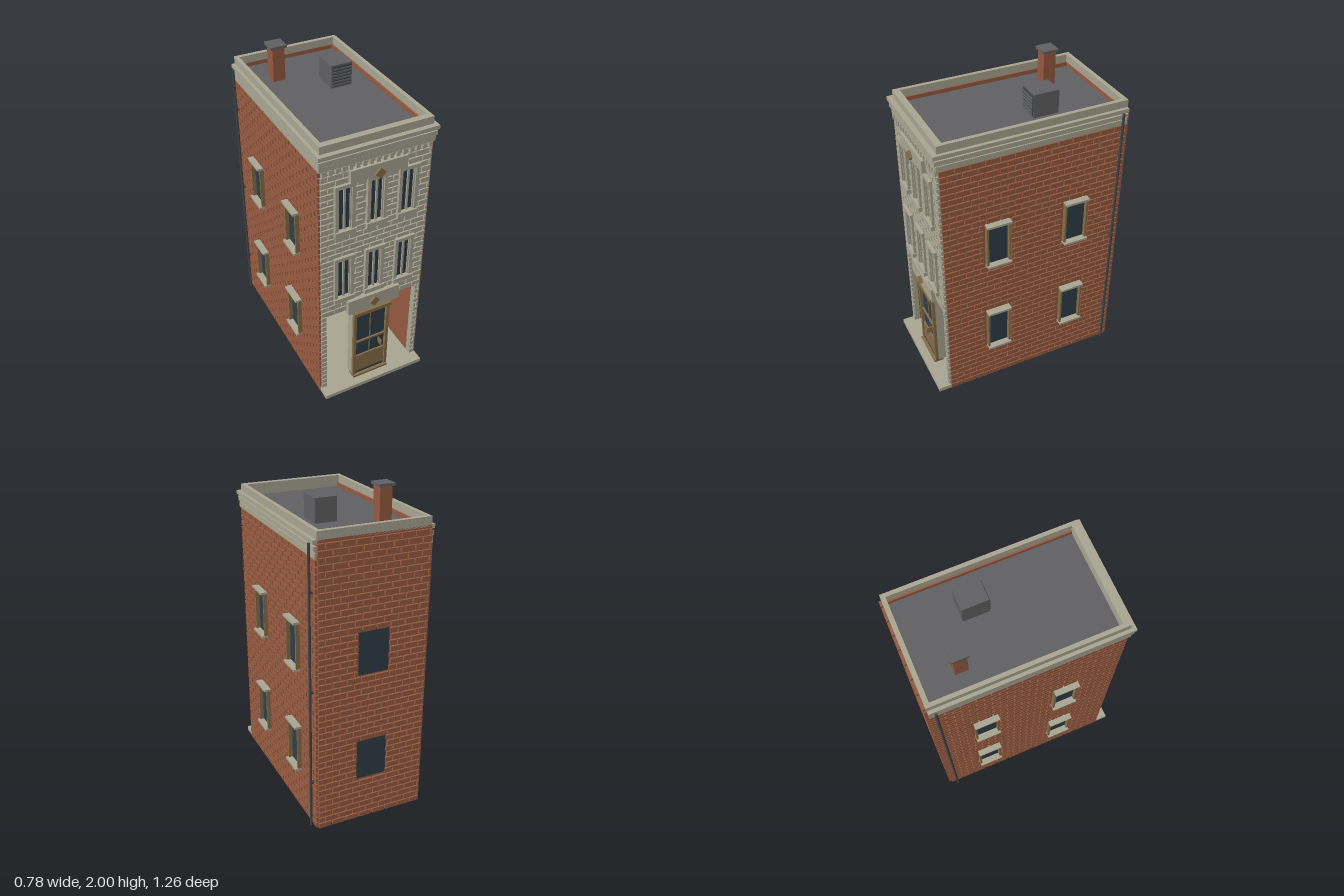
import * as THREE from 'three';
import { mergeGeometries } from 'three/addons/utils/BufferGeometryUtils.js';

const mat = (name, color) => {
  const m = new THREE.MeshStandardMaterial({ color });
  m.name = name;
  return m;
};

export function createModel() {
  const stone = mat('stone', 0xa8a592);
  const brick = mat('brick', 0x955a40);
  const glass = mat('glass', 0x2f3d48);
  const wood = mat('ochre wood', 0x856d48);
  const roofing = mat('roof grey', 0x606062);
  const metal = mat('dark metal', 0x3f4448);

  const model = new THREE.Group();
  model.name = 'townhouse';
  const addMesh = (parent, name, geo, m) => {
    const mesh = new THREE.Mesh(geo, m);
    mesh.name = name;
    parent.add(mesh);
    return mesh;
  };
  // box given by its limits
  const boxGeo = (x0, x1, y0, y1, z0, z1) =>
    new THREE.BoxGeometry(x1 - x0, y1 - y0, z1 - z0).translate((x0 + x1) / 2, (y0 + y1) / 2, (z0 + z1) / 2);
  const box = (parent, name, m, ...b) => addMesh(parent, name, boxGeo(...b), m);
  const facade = (name, angle) => {
    const g = new THREE.Group();
    g.name = name;
    g.rotation.y = angle;
    model.add(g);
    return g;
  };

  // running-bond courses; rows are cut around openings [x0, x1, y0, y1]
  const courses = (parent, name, m, half, y0, y1, z, depth, holes, shift = 0) => {
    const parts = [], pitch = 0.0393, len = 0.09, gap = 0.008;
    const rows = Math.round((y1 - y0) / pitch), step = (y1 - y0) / rows;
    for (let r = 0; r < rows; r++) {
      const a = y0 + r * step, b = a + step - gap, mid = (a + b) / 2;
      const cuts = holes.filter(h => mid > h[2] && mid < h[3]);
      for (let x = shift - half - (r % 2 ? len / 2 : 0); x < half + shift; x += len) {
        let spans = [[Math.max(x, shift - half), Math.min(x + len - gap, shift + half)]];
        for (const h of cuts)
          spans = spans.flatMap(([s, e]) => [[s, Math.min(e, h[0])], [Math.max(s, h[1]), e]]);
        for (const [s, e] of spans)
          if (e - s > 0.01) parts.push(boxGeo(s, e, a, b, z - 0.004, z + depth));
      }
    }
    addMesh(parent, name, mergeGeometries(parts), m);
  };

  // rectangular ring lying flat, used for parapet and cornice
  const ring = (name, hx, zBack, zFront, y0, y1) => {
    const s = new THREE.Shape([[-hx, -zFront], [hx, -zFront], [hx, -zBack], [-hx, -zBack]].map(p => new THREE.Vector2(...p)));
    s.holes.push(new THREE.Path([[-0.32, -0.51], [-0.32, 0.587], [0.32, 0.587], [0.32, -0.51]].map(p => new THREE.Vector2(...p))));
    const g = new THREE.ExtrudeGeometry(s, { depth: y1 - y0, bevelEnabled: false });
    addMesh(model, name, g.rotateX(-Math.PI / 2).translate(0, y0, 0), stone);
  };

  const W = 0.343, BACK = -0.615, FRONT = 0.545;

  // hollow shell
  box(model, 'floorSlab', stone, -W + 0.002, W - 0.002, 0, 0.027, BACK + 0.002, FRONT);
  box(model, 'frontStep', stone, -0.352, 0.352, 0, 0.027, FRONT, 0.63);
  for (const s of [-1, 1]) {
    box(model, 'sideWall', brick, s > 0 ? 0.31 : -W, s > 0 ? W : -0.31, 0, 1.8, BACK, FRONT - 0.03);
    box(model, 'frontPier', stone, s > 0 ? 0.31 : -W, s > 0 ? W : -0.31, 0.027, 0.635, FRONT - 0.03, FRONT);
  }
  box(model, 'backWall', brick, -0.31, 0.31, 0, 1.8, BACK, BACK + 0.03);
  box(model, 'upperFrontWall', stone, -W, W, 0.635, 1.8, FRONT - 0.03, FRONT);
  box(model, 'shopCeiling', brick, -0.31, 0.31, 0.64, 0.66, BACK + 0.03, FRONT - 0.03);
  box(model, 'roof', roofing, -0.325, 0.325, 1.75, 1.775, BACK + 0.02, FRONT - 0.02);

  // parapet and stepped cornice
  ring('parapet', 0.345, BACK, 0.55, 1.79, 1.848);
  ring('corniceTop', 0.366, -0.613, 0.58, 1.778, 1.802);
  ring('corniceMiddle', 0.36, -0.613, 0.572, 1.738, 1.766);
  ring('corniceLower', 0.356, -0.613, 0.562, 1.698, 1.73);
  for (let i = 0; i < 17; i++) {
    const x = -0.328 + i * 0.041;
    box(model, 'dentil', stone, x - 0.011, x + 0.011, 1.667, 1.699, FRONT, 0.565);
  }

  // front facade
  const front = facade('frontFacade', 0);
  const frontHoles = [[-0.31, 0.31, 0, 0.635], [-0.178, 0.178, 0.62, 0.73], [-0.178, 0.178, 1.58, 1.7]];
  for (const y of [0.78, 1.28]) for (const x of [-0.2, 0, 0.2]) {
    frontHoles.push([x - 0.066, x + 0.066, y - 0.035, y + 0.31]);
    const top = y + 0.285, w = 0.042;
    const win = new THREE.Group();
    win.name = 'frontWindow';
    win.position.x = x;
    front.add(win);
    box(win, 'pane', glass, -w, w, y, top, FRONT, FRONT + 0.005);
    box(win, 'mullion', stone, -0.006, 0.006, y, top, FRONT, 0.56);
    for (const s of [-1, 1]) {
      box(win, 'sash', stone, s * 0.039 - 0.004, s * 0.039 + 0.004, y, top, FRONT, 0.56);
      box(win, 'jamb', stone, s * 0.052 - 0.01, s * 0.052 + 0.01, y, top, FRONT, 0.57);
    }
    box(win, 'lintel', stone, -0.066, 0.066, top, top + 0.022, FRONT, 0.576);
    box(win, 'sill', stone, -0.066, 0.066, y - 0.03, y, FRONT, 0.58);
  }
  courses(front, 'frontStonework', stone, W, 0.03, 1.665, FRONT, 0.012, frontHoles);

  // plain panels with diamond ornaments
  for (const [y0, y1, cy] of [[1.588, 1.668, 1.61], [0.622, 0.727, 0.675]]) {
    box(front, 'panel', stone, -0.176, 0.176, y0, y1, FRONT, 0.58);
    const d = box(front, 'diamond', wood, -0.024, 0.024, -0.024, 0.024, 0.575, 0.594);
    d.rotation.z = Math.PI / 4;
    d.position.y = cy;
  }

  // entrance door
  const door = new THREE.Group();
  door.name = 'entranceDoor';
  front.add(door);
  box(door, 'doorGlass', glass, -0.106, 0.106, 0.2, 0.577, 0.53, 0.545);
  box(door, 'kickPanel', wood, -0.104, 0.104, 0.062, 0.2, 0.53, 0.556);
  box(door, 'kickPlate', metal, -0.104, 0.104, 0.042, 0.062, 0.53, 0.556);
  box(door, 'threshold', wood, -0.125, 0.125, 0.027, 0.042, 0.51, 0.575);
  box(door, 'midRail', wood, -0.106, 0.106, 0.318, 0.33, 0.54, 0.556);
  box(door, 'muntin', wood, -0.003, 0.003, 0.2, 0.577, 0.54, 0.55);
  box(door, 'handle', wood, 0.058, 0.066, 0.26, 0.3, 0.55, 0.592);
  box(door, 'header', wood, -0.128, 0.128, 0.577, 0.602, 0.51, 0.58);
  for (const s of [-1, 1]) {
    box(door, 'doorFrame', wood, s * 0.115 - 0.01, s * 0.115 + 0.01, 0.042, 0.577, 0.545, 0.565);
    box(door, 'doorPost', stone, s * 0.115 - 0.01, s * 0.115 + 0.01, 0.042, 0.577, 0.49, 0.545);
  }

  // side facades: brickwork, projecting windows and a drainpipe
  for (const s of [1, -1]) {
    const side = facade(s > 0 ? 'leftFacade' : 'rightFacade', s * Math.PI / 2);
    const holes = [];
    for (const z of [0.207, -0.307]) for (const y of [0.285, 0.965]) {
      const u = -s * z, top = y + 0.28;
      holes.push([u - 0.092, u + 0.092, y - 0.015, top + 0.015]);
      const win = new THREE.Group();
      win.name = 'sideWindow';
      win.position.x = u;
      side.add(win);
      box(win, 'pane', glass, -0.068, 0.068, y, top, W, W + 0.006);
      for (const e of [-1, 1])
        box(win, 'frame', wood, e * 0.071 - 0.006, e * 0.071 + 0.006, y, top, W, 0.374);
      box(win, 'lintel', stone, -0.078, 0.078, top, top + 0.014, W, 0.39);
      box(win, 'sill', stone, -0.078, 0.078, y - 0.014, y, W, 0.39);
    }
    courses(side, 'sideBrickwork', brick, (FRONT - BACK) / 2, 0, 1.7, W, 0.012, holes, -s * (FRONT + BACK) / 2);
    const pipe = addMesh(model, 'drainpipe', new THREE.CylinderGeometry(0.008, 0.008, 1.78, 10), metal);
    pipe.position.set(s * 0.372, 0.89, -0.575);
    for (const y of [0.3, 0.9, 1.5])
      box(model, 'pipeBracket', metal, s * 0.362 - 0.015, s * 0.362 + 0.015, y, y + 0.012, -0.584, -0.566);
  }

  // back facade
  const back = facade('backFacade', Math.PI);
  const backHoles = [0.28, 0.975].map(y => {
    box(back, 'backPane', glass, -0.1, 0.1, y, y + 0.28, -BACK, -BACK + 0.006);
    return [-0.098, 0.098, y, y + 0.28];
  });
  courses(back, 'backBrickwork', brick, W, 0, 1.79, -BACK, 0.015, backHoles);

  // chimney
  box(model, 'chimney', brick, -0.211, -0.134, 1.77, 1.985, -0.404, -0.326);
  box(model, 'chimneyCap', roofing, -0.224, -0.122, 1.984, 2, -0.416, -0.314);

  // rooftop ventilation unit with louvres
  box(model, 'ventUnit', roofing, 0.055, 0.19, 1.775, 1.92, -0.253, -0.095);
  box(model, 'ventGrille', metal, 0.062, 0.183, 1.785, 1.912, -0.095, -0.09);
  for (let i = 0; i < 6; i++)
    box(model, 'louvre', roofing, 0.062, 0.183, 1.79 + i * 0.02, 1.8 + i * 0.02, -0.091, -0.085);

  return model;
}
